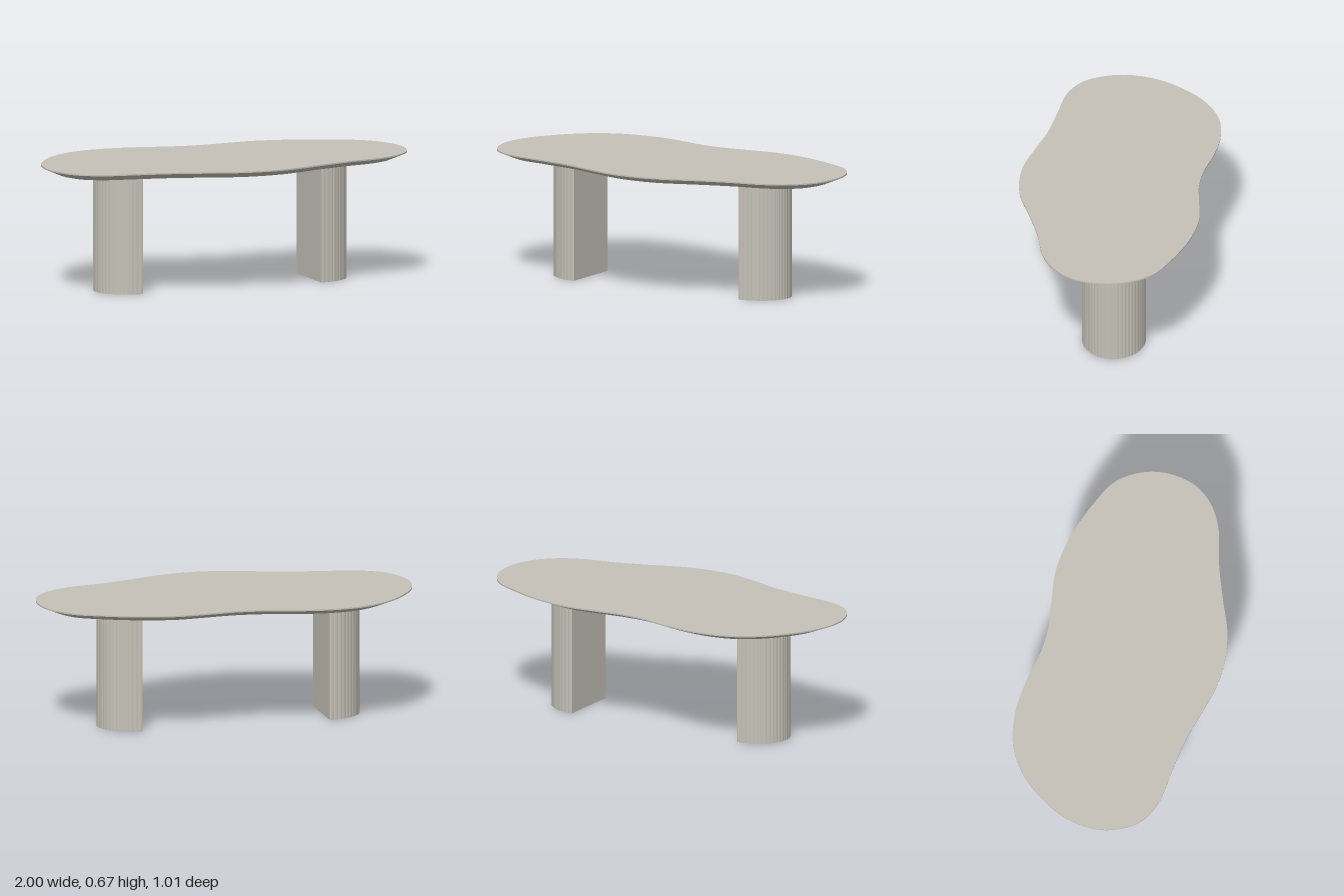
import * as THREE from 'three';
import { mergeGeometries } from 'three/addons/utils/BufferGeometryUtils.js';

const TOP_Y = 0.667, EDGE_Y = 0.66, UNDER_Y = 0.627;

// Freeform outline of the tabletop as [x, z]
const OUTLINE = [
  [-1, 0.02], [-0.97, -0.14], [-0.89, -0.28], [-0.78, -0.4], [-0.63, -0.485],
  [-0.45, -0.51], [-0.28, -0.49], [-0.1, -0.445], [0.04, -0.432], [0.2, -0.445],
  [0.36, -0.455], [0.55, -0.42], [0.75, -0.34], [0.9, -0.25], [0.98, -0.12],
  [1, 0.02], [0.96, 0.17], [0.87, 0.27], [0.75, 0.33], [0.56, 0.37],
  [0.38, 0.425], [0.2, 0.485], [0.05, 0.503], [-0.1, 0.49], [-0.25, 0.445],
  [-0.42, 0.39], [-0.62, 0.35], [-0.8, 0.315], [-0.92, 0.24], [-0.98, 0.13],
];

// Smooth closed ring, moved inward by inset
function outlineRing(inset, count = 160) {
  const curve = new THREE.CatmullRomCurve3(
    OUTLINE.map(([x, z]) => new THREE.Vector3(x, 0, z)), true, 'centripetal');
  return Array.from({ length: count }, (_, i) => {
    const p = curve.getPointAt(i / count), t = curve.getTangentAt(i / count);
    return new THREE.Vector2(p.x - t.z * inset, p.z + t.x * inset);
  });
}

// Closed strip between two rings at different heights
function band(upper, upperY, lower, lowerY) {
  const n = upper.length, pos = [], index = [];
  upper.forEach(p => pos.push(p.x, upperY, p.y));
  lower.forEach(p => pos.push(p.x, lowerY, p.y));
  for (let i = 0; i < n; i++) {
    const j = (i + 1) % n;
    index.push(i, j, n + i, j, n + j, n + i);
  }
  const g = new THREE.BufferGeometry();
  g.setAttribute('position', new THREE.Float32BufferAttribute(pos, 3));
  g.setIndex(index);
  g.computeVertexNormals();
  return g;
}

// Flat face filling a ring, facing up (dir 1) or down (dir -1)
function cap(ring, y, dir) {
  const shape = new THREE.Shape(ring.map(p => new THREE.Vector2(p.x, -dir * p.y)));
  const g = new THREE.ShapeGeometry(shape);
  g.deleteAttribute('uv');
  return g.rotateX(-dir * Math.PI / 2).translate(0, y, 0);
}

// Half-round leg: flat inner face on x = 0, shallow reeds around the outside
function legGeometry() {
  const depth = 0.198, half = 0.166, reeds = 26, steps = 4, pts = [];
  for (let i = 0; i <= reeds * steps; i++) {
    const a = -Math.PI / 2 + Math.PI * i / (reeds * steps);
    const bulge = 0.002 * Math.abs(Math.sin(Math.PI * i / steps));
    pts.push(new THREE.Vector2((depth + bulge) * Math.cos(a), (half + bulge) * Math.sin(a)));
  }
  const g = new THREE.ExtrudeGeometry(new THREE.Shape(pts), { depth: UNDER_Y, bevelEnabled: false });
  return g.rotateX(-Math.PI / 2);
}

export function createModel() {
  const model = new THREE.Group();
  model.name = 'table';
  const stone = new THREE.MeshStandardMaterial({ color: 0xc5c1b7 });
  stone.name = 'warm grey';

  // Tabletop: thin upright rim above a wide undercut bevel
  const outer = outlineRing(0), inner = outlineRing(0.08);
  const top = new THREE.Mesh(mergeGeometries([
    cap(outer, TOP_Y, 1),
    band(outer, TOP_Y, outer, EDGE_Y),
    band(outer, EDGE_Y, inner, UNDER_Y),
    cap(inner, UNDER_Y, -1),
  ]), stone);
  top.name = 'tabletop';
  model.add(top);

  // Legs: flat faces look at each other
  const geo = legGeometry();
  for (const [name, x, turn] of [['leftLeg', 0.49, 0], ['rightLeg', -0.515, Math.PI]]) {
    const leg = new THREE.Mesh(geo, stone);
    leg.name = name;
    leg.position.set(x, 0, -0.023);
    leg.rotation.y = turn;
    model.add(leg);
  }
  return model;
}
